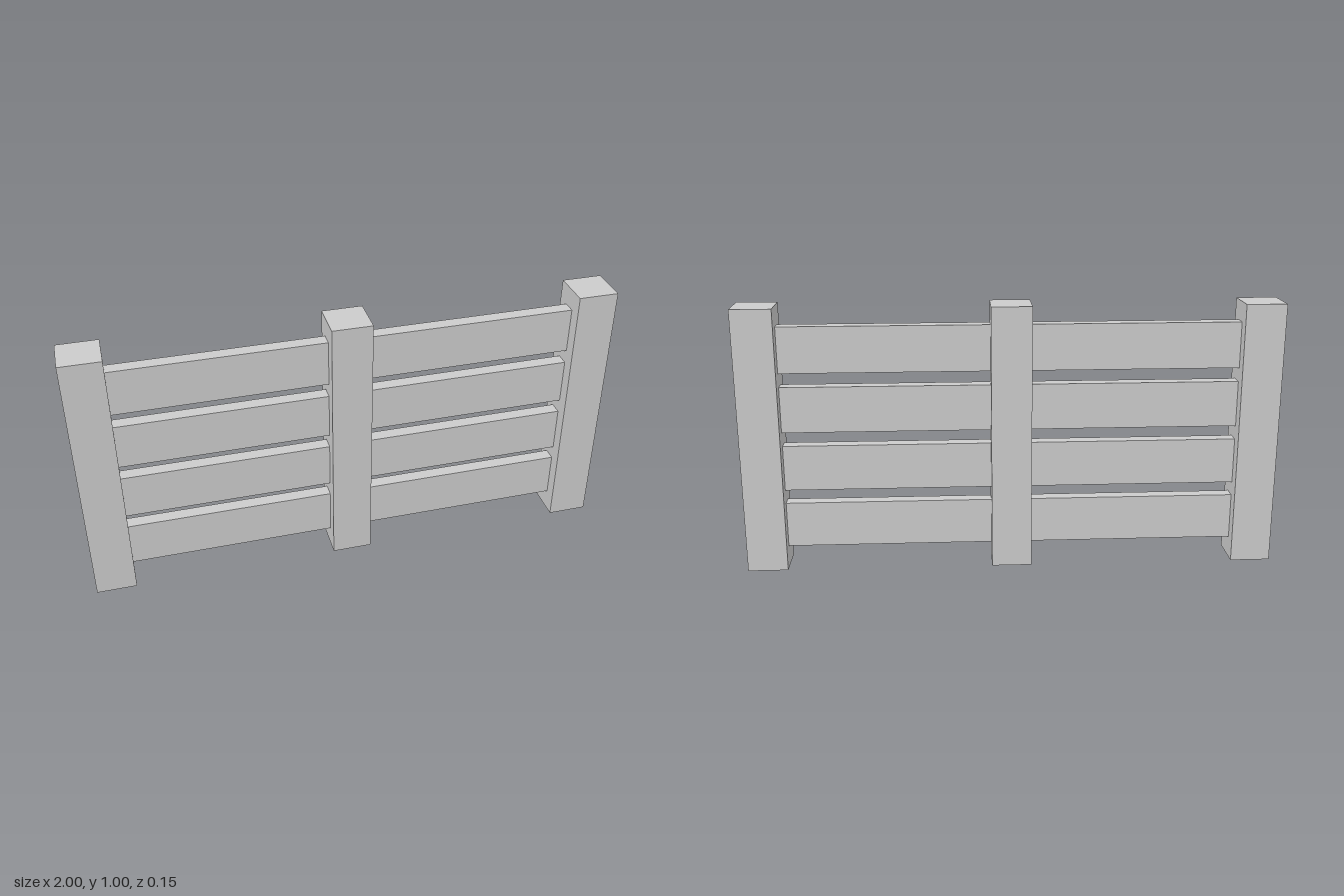
import * as THREE from 'three';

const POST = 0.15;         // square post thickness
const POST_X = 1 - POST / 2;
const RAIL_HEIGHT = 0.173;
const RAIL_DEPTH = 0.05;

export function createModel() {
  const fence = new THREE.Group();
  fence.name = 'fence';
  const material = new THREE.MeshStandardMaterial({ color: 0xcccccc, flatShading: true });

  const addBox = (name, w, h, d, x, y) => {
    const mesh = new THREE.Mesh(new THREE.BoxGeometry(w, h, d), material);
    mesh.name = name;
    mesh.position.set(x, y, 0);
    fence.add(mesh);
  };

  // Three square posts
  addBox('rightPost', POST, 1, POST, -POST_X, 0.5);
  addBox('middlePost', POST, 1, POST, 0, 0.5);
  addBox('leftPost', POST, 1, POST, POST_X, 0.5);

  // Four flat rails per bay, let slightly into the posts
  const bayWidth = POST_X - POST + 0.04;
  for (let i = 0; i < 4; i++) {
    const y = 0.165 + i * 0.225;
    addBox(`rightRail${i + 1}`, bayWidth, RAIL_HEIGHT, RAIL_DEPTH, -POST_X / 2, y);
    addBox(`leftRail${i + 1}`, bayWidth, RAIL_HEIGHT, RAIL_DEPTH, POST_X / 2, y);
  }
  return fence;
}
